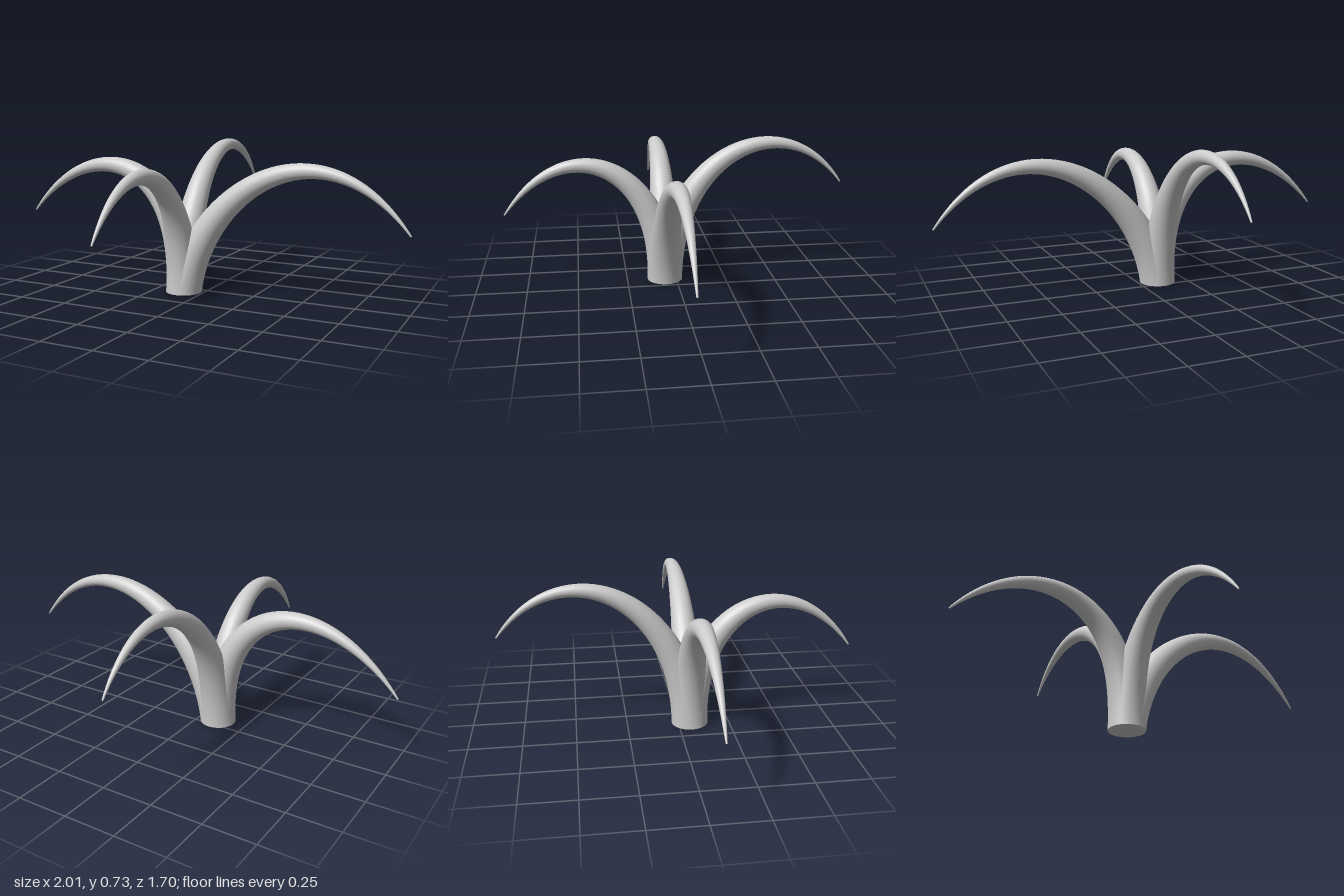
import * as THREE from 'three';

const BASE = new THREE.Vector3(-0.1, 0, 0.057);
const RADIUS = 0.089;
const UP = new THREE.Vector3(0, 1, 0);

// Tapered round arm swept along a planar Bezier; its base ring lies flat on the ground.
function taperedArm(dir, [p1, p2, p3], rings = 48, sides = 28) {
  const at = ([d, y]) => BASE.clone().addScaledVector(dir, d).setY(y);
  const curve = new THREE.CubicBezierCurve3(BASE.clone(), at(p1), at(p2), at(p3));
  const side = new THREE.Vector3().crossVectors(dir, UP);
  const pos = [], index = [];
  for (let i = 0; i <= rings + 1; i++) {
    const s = Math.min(i / rings, 1);
    const c = curve.getPointAt(s);
    // ease the first rings from horizontal to square with the path
    const t = UP.clone().lerp(curve.getTangentAt(s), Math.min(s / 0.2, 1)).normalize();
    const n = new THREE.Vector3().crossVectors(side, t);
    const r = i > rings ? 0 : RADIUS * (1 - s) + 0.004 * s;
    for (let j = 0; j < sides; j++) {
      const a = (j / sides) * Math.PI * 2;
      const p = c.clone().addScaledVector(n, r * Math.cos(a)).addScaledVector(side, r * Math.sin(a));
      pos.push(p.x, p.y, p.z);
      if (i > rings) continue;
      const k = (j + 1) % sides, A = i * sides, B = A + sides;
      index.push(A + j, A + k, B + j, A + k, B + k, B + j);
    }
  }
  const g = new THREE.BufferGeometry();
  g.setAttribute('position', new THREE.Float32BufferAttribute(pos, 3));
  g.setIndex(index);
  g.computeVertexNormals();
  return g;
}

export function createModel() {
  const group = new THREE.Group();
  group.name = 'archingPlant';
  const material = new THREE.MeshStandardMaterial({ color: 0xcccccc });
  const add = (name, geometry) => {
    const mesh = new THREE.Mesh(geometry, material);
    mesh.name = name;
    group.add(mesh);
    return mesh;
  };

  // Arms: heading, then Bezier points as [distance outward, height]
  const arms = [
    ['leftArm', [1, 0, 0], [[0.1, 0.53], [0.7, 0.9], [1.1, 0.365]]],
    ['rightArm', [-1, 0, 0], [[0, 0.7], [0.55, 0.78], [0.9, 0.35]]],
    ['frontArm', [0, 0, 1], [[0.02, 0.63], [0.49, 0.8], [0.788, 0.37]]],
    ['backArm', [0, 0, -1], [[0.05, 0.69], [0.61, 0.9], [0.902, 0.485]]],
  ];
  for (const [name, dir, points] of arms) add(name, taperedArm(new THREE.Vector3(...dir), points));

  // Flat underside shared by all arms
  const base = add('baseCap', new THREE.CircleGeometry(RADIUS, 28).rotateX(Math.PI / 2));
  base.position.copy(BASE);
  return group;
}
